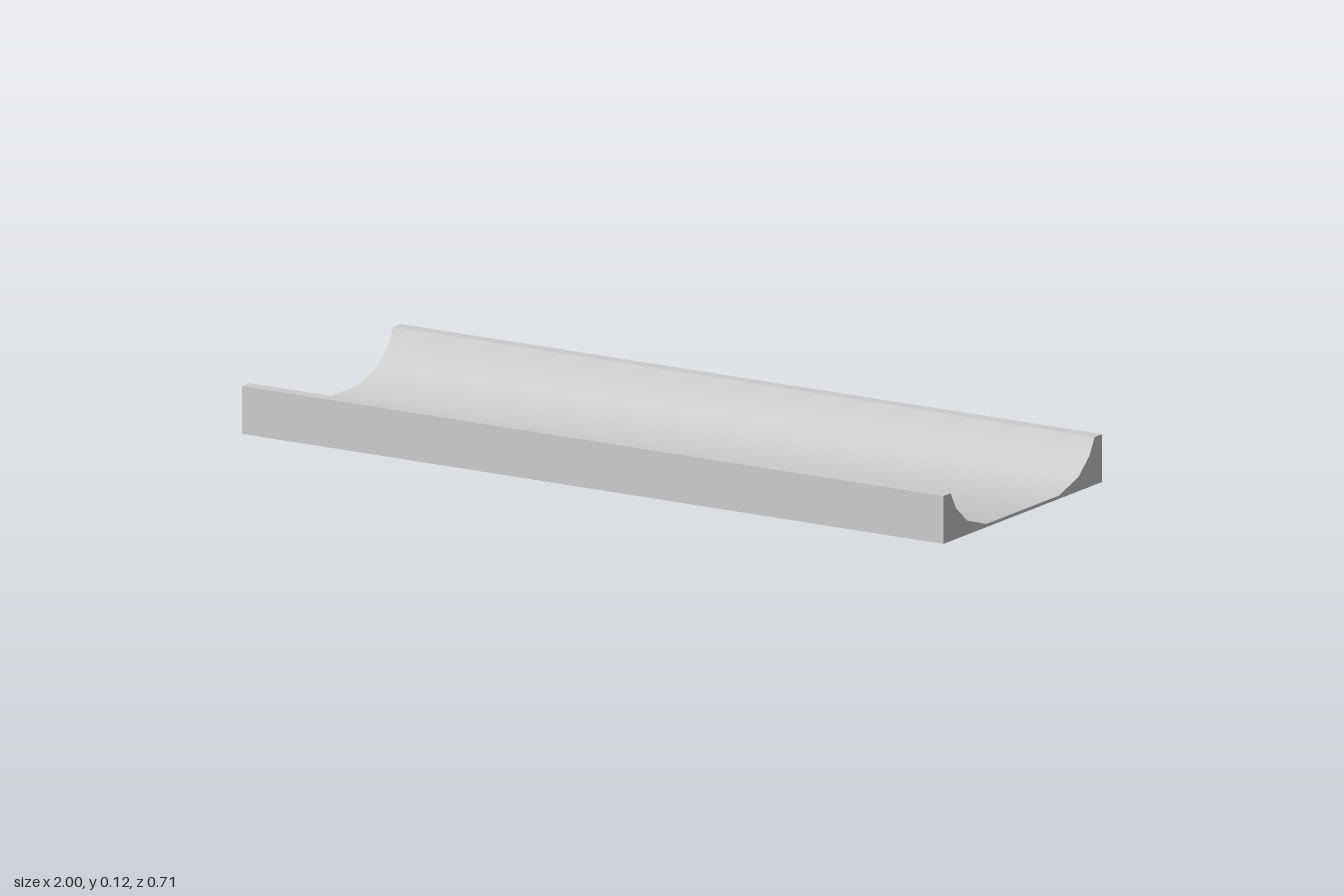
import * as THREE from 'three';
import { toCreasedNormals } from 'three/addons/utils/BufferGeometryUtils.js';

export function createModel() {
  const group = new THREE.Group();
  group.name = 'channelTray';
  const length = 2;

  // Half of the cross-section, from the outer foot over the rim to the channel floor
  const half = [[0.357, 0], [0.357, 0.119], [0.324, 0.119], [0.3, 0.077], [0.25, 0.035], [0.163, 0.008]];
  const mirrored = half.map(([x, y]) => [-x, y]).reverse();
  const profile = new THREE.Shape([...half, ...mirrored].map(([x, y]) => new THREE.Vector2(x, y)));

  // Run the section along x, smooth inside the channel and sharp at the rims
  const extruded = new THREE.ExtrudeGeometry(profile, { depth: length, bevelEnabled: false });
  extruded.translate(0, 0, -length / 2).rotateY(Math.PI / 2);
  const geometry = toCreasedNormals(extruded, THREE.MathUtils.degToRad(35));

  const channel = new THREE.Mesh(geometry, new THREE.MeshStandardMaterial({ color: 0xcccccc }));
  channel.name = 'channel';
  group.add(channel);
  return group;
}
